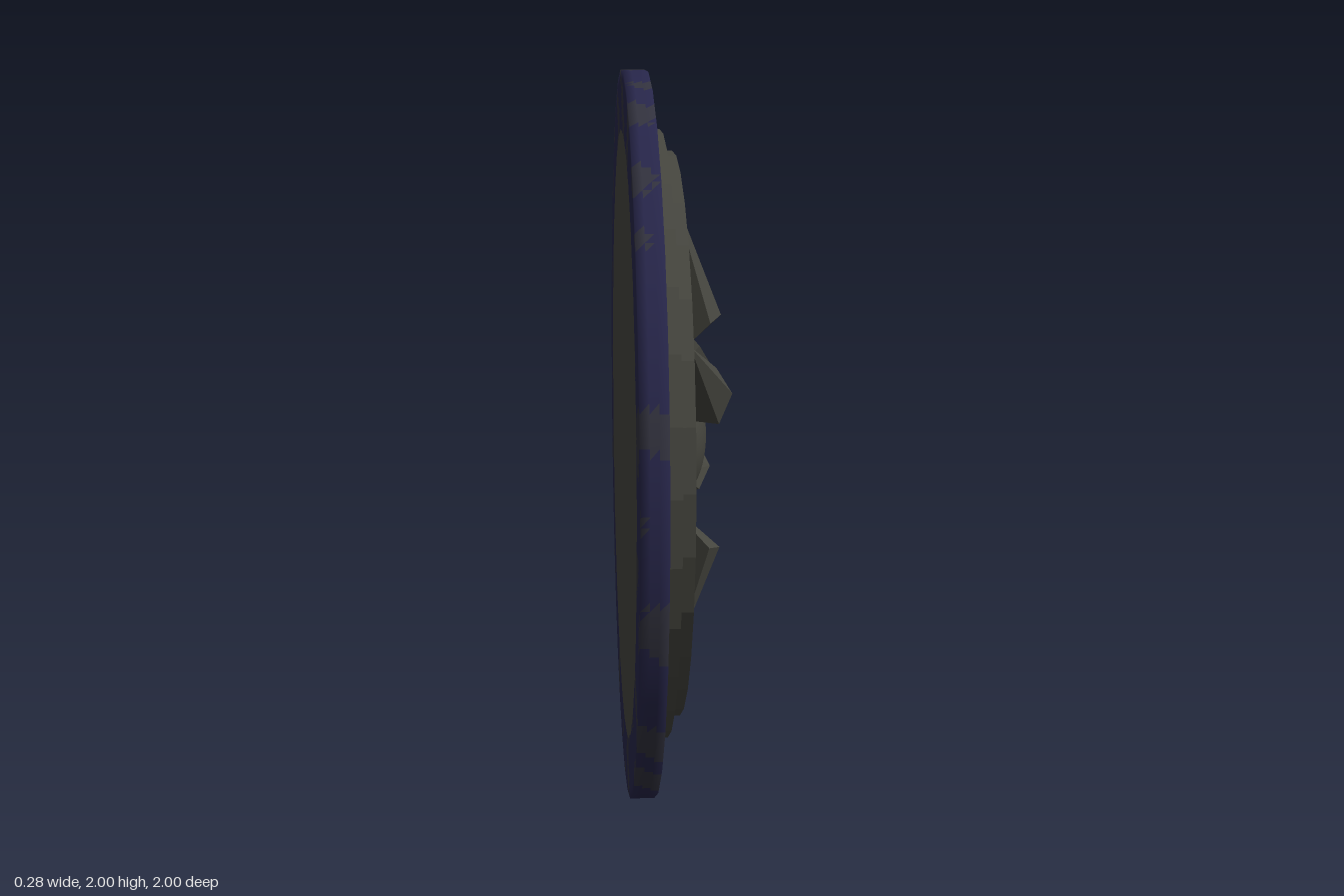
import * as THREE from 'three';

const SIDES = 32;
const steel = new THREE.MeshStandardMaterial({ color: 0x46463f });
steel.name = 'darkSteel';
const blue = new THREE.MeshStandardMaterial({ color: 0x27264a });
blue.name = 'navyRim';
const worn = new THREE.MeshStandardMaterial({ color: 0x32323e });
worn.name = 'wornRim';

function flat(geometry) {
  const g = geometry.index ? geometry.toNonIndexed() : geometry;
  g.computeVertexNormals();
  return g;
}

function add(parent, name, geometry, material) {
  const mesh = new THREE.Mesh(geometry, material);
  mesh.name = name;
  parent.add(mesh);
  return mesh;
}

// Disc facing +x between two depths
function disc(radius, x0, x1) {
  const g = new THREE.CylinderGeometry(radius, radius, x1 - x0, SIDES);
  g.translate(0, (x0 + x1) / 2, 0);
  g.rotateZ(-Math.PI / 2);
  return flat(g);
}

// Mottled rim: finely divided lathe pulled onto a 32-sided outline
function rimGeometry() {
  const corners = [[0.84, -0.14], [1, -0.14], [1, -0.075], [0.9, -0.075], [0.84, -0.1]];
  const steps = [8, 3, 5, 3];
  const profile = [];
  steps.forEach((n, i) => {
    for (let k = 0; k < n; k++) {
      const t = k / n, [a, b] = [corners[i], corners[i + 1]];
      profile.push(new THREE.Vector2(a[0] + (b[0] - a[0]) * t, a[1] + (b[1] - a[1]) * t));
    }
  });
  profile.push(new THREE.Vector2(...corners[4]));
  const g = new THREE.LatheGeometry(profile, SIDES * 8);
  const p = g.attributes.position;
  const step = (Math.PI * 2) / SIDES;
  for (let i = 0; i < p.count; i++) {
    const a = Math.atan2(p.getX(i), p.getZ(i)) + Math.PI * 2;
    const k = Math.cos(step / 2) / Math.cos((a % step) - step / 2);
    p.setX(i, p.getX(i) * k);
    p.setZ(i, p.getZ(i) * k);
  }
  g.rotateZ(-Math.PI / 2);

  // Sort triangles into base colour and worn patches
  const lists = [[], []];
  const idx = g.index.array;
  for (let i = 0; i < idx.length; i += 3) {
    const tri = [idx[i], idx[i + 1], idx[i + 2]];
    const y = p.getY(tri[0]), z = p.getZ(tri[0]), x = p.getX(tri[0]);
    const n = Math.sin(17 * y + 3 * Math.sin(9 * z) + 30 * x)
      + Math.sin(19 * z + 2.5 * Math.sin(13 * y) + 1) + 0.6 * Math.sin(31 * (y - z) + 2);
    lists[n > 0.85 ? 1 : 0].push(...tri);
  }
  g.setIndex(lists[0].concat(lists[1]));
  g.addGroup(0, lists[0].length, 0);
  g.addGroup(lists[0].length, lists[1].length, 1);
  return g;
}

// Slanted spike pointing outward along +y, rising towards +x at its inner end
function spikeGeometry() {
  const tip = [0, 0.68, 0];
  const base = [[0.137, 0.335, 0], [0.1, 0.318, -0.078], [0.035, 0.25, -0.046],
    [0.035, 0.25, 0.046], [0.1, 0.318, 0.078]];
  const v = [];
  base.forEach((b, i) => v.push(...tip, ...base[(i + 1) % 5], ...b));
  for (let i = 1; i < 4; i++) v.push(...base[0], ...base[i], ...base[i + 1]);
  const g = new THREE.BufferGeometry();
  g.setAttribute('position', new THREE.Float32BufferAttribute(v, 3));
  // Make the faces point outwards if the loop runs the other way
  const [a, b, c] = [0, 1, 2].map(i => new THREE.Vector3().fromBufferAttribute(g.attributes.position, i));
  const centre = new THREE.Vector3(0.07, 0.36, 0);
  const n = b.clone().sub(a).cross(c.clone().sub(a));
  if (n.dot(a.clone().add(b).add(c).divideScalar(3).sub(centre)) < 0) {
    const p = g.attributes.position;
    for (let i = 0; i < p.count; i += 3) {
      const q = new THREE.Vector3().fromBufferAttribute(p, i + 1);
      p.setXYZ(i + 1, p.getX(i + 2), p.getY(i + 2), p.getZ(i + 2));
      p.setXYZ(i + 2, q.x, q.y, q.z);
    }
  }
  return flat(g);
}

export function createModel() {
  const model = new THREE.Group();
  model.name = 'roundShield';
  const shield = new THREE.Group();
  shield.name = 'shieldBody';
  shield.position.y = 1;
  model.add(shield);

  // Rim and stepped plates
  add(shield, 'rim', rimGeometry(), [blue, worn]);
  add(shield, 'lowerPlate', disc(0.843, -0.14, -0.035), steel);
  add(shield, 'facePlate', disc(0.785, -0.04, 0), steel);

  // Central boss
  const boss = new THREE.SphereGeometry(0.19, 40, 12, 0, Math.PI * 2, 0, Math.PI / 2);
  boss.scale(1, 0.5, 1);
  boss.rotateZ(-Math.PI / 2);
  add(shield, 'boss', boss, steel);

  // Five spikes with a stud at each inner end; one lower position stays empty
  const spike = spikeGeometry();
  const stud = new THREE.SphereGeometry(0.022, 14, 6, 0, Math.PI * 2, 0, Math.PI / 2);
  stud.rotateZ(-Math.PI / 2);
  const studBack = new THREE.CircleGeometry(0.022, 14);
  studBack.rotateY(-Math.PI / 2);
  for (const degrees of [0, 62, 180, -118, -62]) {
    const arm = new THREE.Group();
    arm.name = 'spikeArm';
    arm.rotation.x = THREE.MathUtils.degToRad(degrees);
    add(arm, 'spike', spike, steel);
    add(arm, 'stud', stud, steel).position.set(0.04, 0.226, 0);
    add(arm, 'studBack', studBack, steel).position.set(0.04, 0.226, 0);
    shield.add(arm);
  }
  return model;
}
